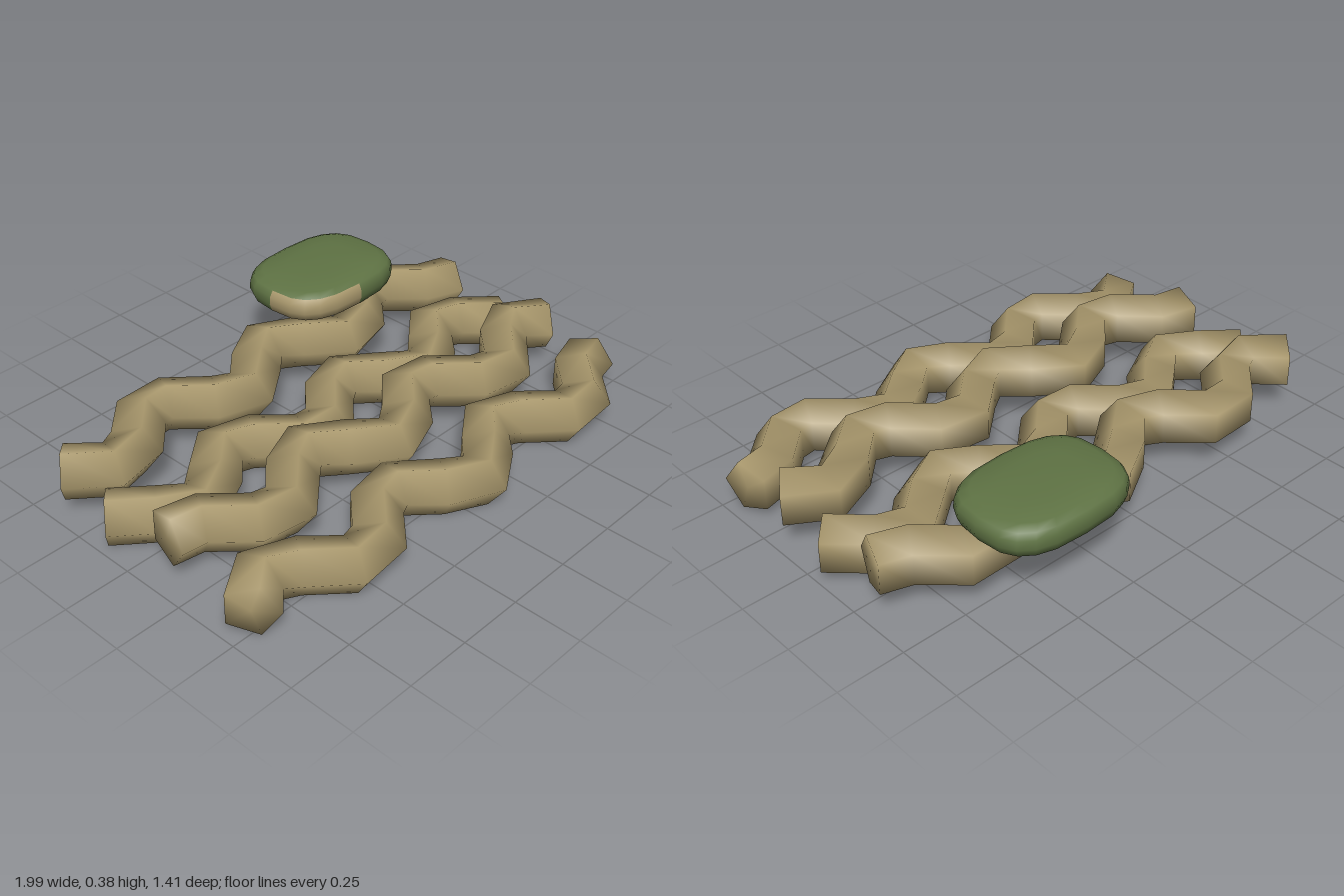
import * as THREE from 'three';

const tan = new THREE.MeshStandardMaterial({ color: 0xa8976c });
tan.name = 'noodle tan';
const green = new THREE.MeshStandardMaterial({ color: 0x5f7344 });
green.name = 'leaf green';

// Skin a list of equal-length rings and close both ends; pick(i, j) gives a quad's material index.
function loft(rings, materials, pick = () => 0) {
  const n = rings[0].length, last = rings.length - 1;
  const points = rings.flat();
  const faces = materials.map(() => []);
  const id = (i, j) => i * n + (j % n);
  for (let i = 0; i < last; i++) {
    for (let j = 0; j < n; j++) {
      faces[pick(i, j)].push(
        id(i, j), id(i + 1, j), id(i, j + 1),
        id(i + 1, j), id(i + 1, j + 1), id(i, j + 1));
    }
  }
  for (const end of [0, last]) {
    const middle = new THREE.Vector3();
    rings[end].forEach((p) => middle.addScaledVector(p, 1 / n));
    const c = points.push(middle) - 1;
    for (let j = 0; j < n; j++) {
      if (end === 0) faces[0].push(c, id(0, j), id(0, j + 1));
      else faces[0].push(c, id(end, j + 1), id(end, j));
    }
  }
  const geometry = new THREE.BufferGeometry().setFromPoints(points);
  geometry.setIndex(faces.flat());
  let start = 0;
  faces.forEach((f, k) => {
    geometry.addGroup(start, f.length, k);
    start += f.length;
  });
  geometry.computeVertexNormals();
  return new THREE.Mesh(geometry, materials.length > 1 ? materials : materials[0]);
}

// Wavy five-sided strand running along x; valley is an x where it bulges forward.
function makeNoodle(x0, x1, y, z, valley) {
  const steps = 15, radius = 0.1, wave = 0.562;
  const path = [];
  for (let i = 0; i <= steps; i++) {
    const x = x0 + ((x1 - x0) * i) / steps;
    path.push(new THREE.Vector3(x, y, z + 0.097 * Math.cos((2 * Math.PI * (x - valley)) / wave)));
  }
  const rings = path.map((p, i) => {
    const t = path[Math.min(i + 1, steps)].clone().sub(path[Math.max(i - 1, 0)]).normalize();
    return Array.from({ length: 5 }, (_, j) => {
      const a = (j / 5) * Math.PI * 2;
      const s = Math.cos(a) * radius;
      return new THREE.Vector3(p.x - t.z * s, p.y + Math.sin(a) * radius, p.z + t.x * s);
    });
  });
  return loft(rings, [tan]);
}

// Flat rounded-square leaf with a tan patch on its front left edge.
function makeLeaf() {
  const sides = 20;
  const profile = [[0.5, 0.239], [0.82, 0.247], [0.95, 0.268], [1, 0.3],
    [0.99, 0.332], [0.94, 0.354], [0.82, 0.368], [0.5, 0.378]];
  const soft = (v) => Math.sign(v) * Math.abs(v) ** 0.68;
  const rings = profile.map(([s, y]) => Array.from({ length: sides }, (_, j) => {
    const a = (j / sides) * Math.PI * 2;
    return new THREE.Vector3(
      0.422 + 0.281 * s * soft(Math.cos(a)), y, -0.5 + 0.212 * s * soft(Math.sin(a)));
  }));
  return loft(rings, [green, tan], (i, j) => (i > 0 && i < 5 && j >= 5 && j < 10 ? 1 : 0));
}

export function createModel() {
  const model = new THREE.Group();
  model.name = 'noodlesWithLeaf';

  // Start x, end x, height, and bulge position of each strand, front to back
  const strands = [
    [-0.923, 0.944, 0.095, -0.5],
    [-0.928, 0.938, 0.17, -0.602],
    [-0.941, 0.93, 0.095, -0.69],
    [-0.941, 0.936, 0.17, -0.78],
  ];
  strands.forEach(([x0, x1, y, valley], i) => {
    const noodle = makeNoodle(x0, x1, y, 0.5 - 0.2875 * i, valley);
    noodle.name = `noodle${i + 1}`;
    model.add(noodle);
  });

  const leaf = makeLeaf();
  leaf.name = 'leaf';
  model.add(leaf);
  return model;
}
